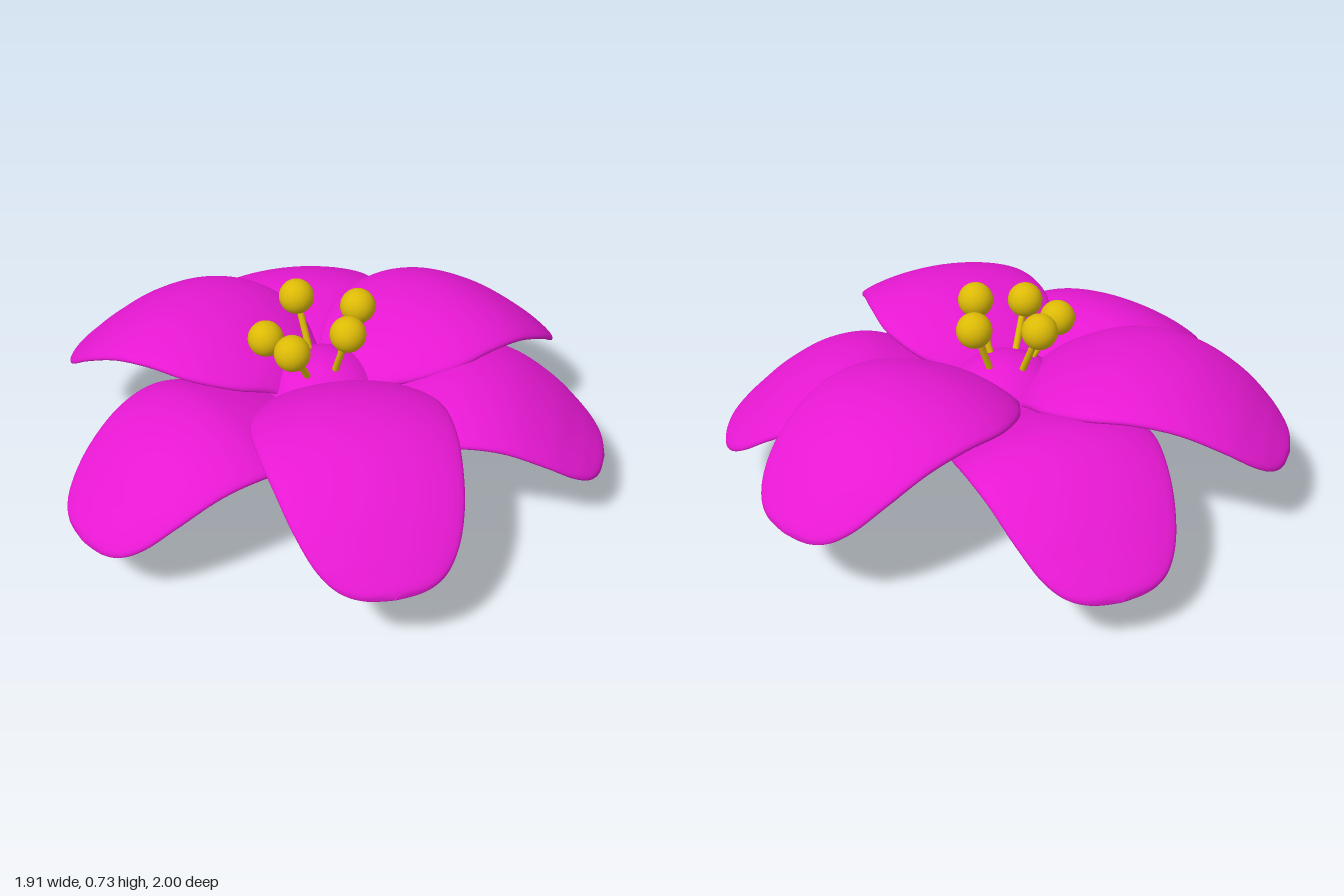
import * as THREE from 'three';

const pink = new THREE.MeshStandardMaterial({ color: 0xe618d2, side: THREE.DoubleSide });
const gold = new THREE.MeshStandardMaterial({ color: 0xdcba06 });

// Petal stations: distance from the centre, half width and crest height at each
const reach = [0, 0.1, 0.2, 0.35, 0.5, 0.65, 0.8, 0.9, 0.955, 0.985, 1];
const upper = {
  name: 'upperPetal',
  width: [0.08, 0.165, 0.257, 0.322, 0.326, 0.306, 0.27, 0.222, 0.168, 0.105, 0.002],
  crest: [0.36, 0.455, 0.515, 0.568, 0.582, 0.552, 0.475, 0.395, 0.345, 0.32, 0.308],
  droop: 0.48,
  pinch: 0,
  petals: [[180, 1], [67, 1.01], [-61, 1.005]], // heading in degrees, length
};
const lower = {
  name: 'lowerPetal',
  width: [0.1, 0.2, 0.27, 0.322, 0.33, 0.308, 0.268, 0.22, 0.168, 0.105, 0.002],
  crest: [0.28, 0.345, 0.403, 0.464, 0.497, 0.47, 0.388, 0.308, 0.262, 0.238, 0.225],
  droop: 0.48,
  pinch: 2,
  petals: [[3.3, 1], [134, 1.005], [-115.5, 1.015]],
};

// Thin arched blade: a flattened loop swept along +z, sagging with the square
// of x, and more so toward the base where pinch is set
function petalGeometry({ width, crest, droop, pinch }) {
  const spine = new THREE.CatmullRomCurve3(reach.map((r, i) => new THREE.Vector3(width[i], crest[i], r)));
  const rows = 70, around = 48, half = 0.027, positions = [], index = [];
  for (let i = 0; i <= rows; i++) {
    const { x: w, y, z: r } = spine.getPoint(i / rows);
    const thick = half * Math.sqrt(Math.min(1, Math.max(0, w) / 0.2));
    const sag = droop * (1 + pinch * Math.pow(Math.max(0, 1 - r), 4));
    for (let j = 0; j < around; j++) {
      const a = (j / around) * Math.PI * 2, x = w * Math.cos(a), s = Math.sin(a);
      const lift = Math.sign(s) * Math.pow(Math.abs(s), 0.65) * thick;
      positions.push(x, y - half - sag * x * x + lift, r);
      if (i < rows) {
        const k = (j + 1) % around, p = i * around, q = p + around;
        index.push(p + j, p + k, q + j, p + k, q + k, q + j);
      }
    }
  }
  const geometry = new THREE.BufferGeometry();
  geometry.setAttribute('position', new THREE.Float32BufferAttribute(positions, 3));
  geometry.setIndex(index);
  geometry.computeVertexNormals();
  return geometry;
}

function addMesh(parent, name, geometry, material) {
  const mesh = new THREE.Mesh(geometry, material);
  mesh.name = name;
  parent.add(mesh);
  return mesh;
}

export function createModel() {
  const flower = new THREE.Group();
  flower.name = 'flower';

  // Round core
  addMesh(flower, 'core', new THREE.SphereGeometry(0.25, 48, 32), pink).position.y = 0.25;

  // Two alternating layers of three petals
  for (const layer of [upper, lower]) {
    const geometry = petalGeometry(layer);
    for (const [heading, length] of layer.petals) {
      const petal = addMesh(flower, layer.name, geometry, pink);
      petal.rotation.y = THREE.MathUtils.degToRad(heading);
      petal.scale.z = length;
    }
  }

  // Stamens: a thin filament leaning out to a round anther
  const anthers = [[-0.16, 0.662, -0.002], [0.15, 0.668, 0.003], [0.01, 0.657, -0.143],
    [-0.068, 0.607, 0.19], [0.083, 0.625, 0.184]];
  for (const [x, y, z] of anthers) {
    const stamen = new THREE.Group();
    stamen.name = 'stamen';
    const tip = new THREE.Vector3(x, y, z);
    const base = new THREE.Vector3(x * 0.4, 0.44, z * 0.4);
    addMesh(stamen, 'anther', new THREE.SphereGeometry(0.062, 24, 16), gold).position.copy(tip);
    const filament = new THREE.LineCurve3(base, tip);
    addMesh(stamen, 'filament', new THREE.TubeGeometry(filament, 1, 0.012, 10), gold);
    flower.add(stamen);
  }
  return flower;
}
